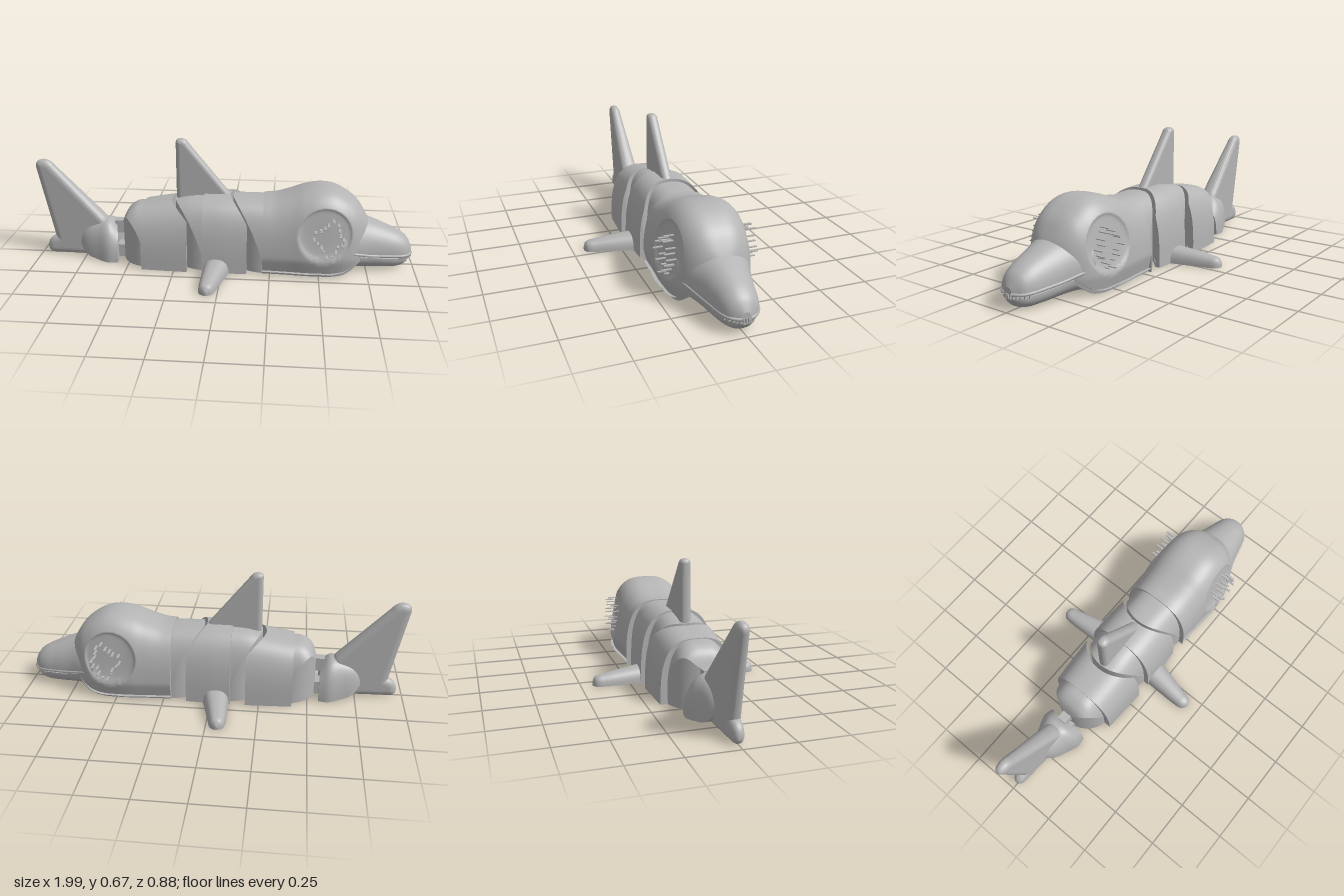
import * as THREE from 'three';
import { mergeGeometries } from 'three/addons/utils/BufferGeometryUtils.js';

const grey = new THREE.MeshStandardMaterial({ color: 0xb4b4b4, side: THREE.DoubleSide });
grey.name = 'plain grey';

const add = (group, name, geometry) => {
  const mesh = new THREE.Mesh(geometry, grey);
  mesh.name = name;
  group.add(mesh);
  return mesh;
};

// Smooth sheet of quads from fn(u, v) -> [x, y, z], with integer u and v
function sheet(fn, nu, nv, flip) {
  const pos = [], index = [];
  for (let u = 0; u <= nu; u++) for (let v = 0; v <= nv; v++) pos.push(...fn(u, v));
  for (let u = 0; u < nu; u++) for (let v = 0; v < nv; v++) {
    const a = u * (nv + 1) + v, b = a + nv + 1;
    if (flip) index.push(a, b + 1, b, a, a + 1, b + 1);
    else index.push(a, b, b + 1, a, b + 1, a + 1);
  }
  const g = new THREE.BufferGeometry();
  g.setAttribute('position', new THREE.Float32BufferAttribute(pos, 3));
  g.setIndex(index);
  g.computeVertexNormals();
  return g;
}

// Arch-shaped solid along x. Rows: [x, half width, crown y, base y, centre z].
// xa and xb bend the two ends as functions of z; lift recesses the underside.
function loft(rows, { xa, xb, e = 0.667, lift = 0, undercut = 0, dent, nu = 24, nv = 48 } = {}) {
  const curve = new THREE.CubicInterpolant(rows.map(r => r[0]),
    rows.flatMap(r => [r[1], r[2], r[3], r[4] || 0]), 4, new Float32Array(4));
  const x0 = rows[0][0], x1 = rows[rows.length - 1][0];
  const point = (i, j) => {
    const s = i / nu, a = Math.PI * j / nv, c = Math.cos(a);
    const first = curve.evaluate(x0 + (x1 - x0) * s);
    let z = first[3] + first[0] * Math.sign(c) * Math.abs(c) ** e;
    const from = xa ? xa(z) : x0, to = xb ? xb(z) : x1;
    const x = from + (to - from) * s;
    const [, h, base] = curve.evaluate(x);
    const y = base + (h - base) * Math.abs(Math.sin(a)) ** e;
    z *= 1 - undercut * Math.max(0, 1 - y / 0.09);
    if (dent) z -= Math.sign(z) * dent(x, y);
    return { p: [x, y, z], base };
  };
  const down = rows[1][2] < rows[1][3];
  const under = (i, j, rise) => { const q = point(i, j); return [q.p[0], q.base + rise, q.p[2]]; };
  const cap = i => (j, k) => k ? under(i, j, 0) : point(i, j).p;
  return mergeGeometries([
    sheet((i, j) => point(i, j).p, nu, nv, down),
    sheet((i, j) => under(i, j, lift), nu, nv, !down),
    sheet(cap(0), nv, 1, down),
    sheet(cap(nu), nv, 1, !down),
  ]);
}

// Ends of the hinge joints: a round knuckle and the hollow that receives it
const arc = (cx, r, limit = 9) => z => Math.min(limit, cx - Math.sqrt(Math.max(0, r * r - z * z)));

// Underside plate with a ring groove and a hexagonal hole at the pivot
function floorPlate(cx, r, outline) {
  const shape = new THREE.Shape();
  for (let i = 0; i <= 24; i++) {
    const a = Math.PI * (0.5 + i / 24);
    const p = [cx + r * Math.cos(a), r * Math.sin(a)];
    i ? shape.lineTo(...p) : shape.moveTo(...p);
  }
  const half = outline.map(([x, z]) => [x, -z]);
  [...half, ...outline.slice().reverse()].forEach(p => shape.lineTo(...p));
  const ring = (rad, n) => new THREE.Path(Array.from({ length: n }, (_, i) =>
    new THREE.Vector2(cx + rad * Math.cos(i * 2 * Math.PI / n), rad * Math.sin(i * 2 * Math.PI / n))));
  shape.holes.push(ring(0.12, 40));
  const hub = new THREE.Shape(ring(0.08, 40).getPoints());
  hub.holes.push(ring(0.045, 6));
  return new THREE.ExtrudeGeometry([shape, hub], { depth: 0.02, bevelEnabled: false }).rotateX(-Math.PI / 2);
}

// Upright fin with rounded rim, from a side profile
function fin(shape, thickness) {
  const b = thickness * 0.45;
  return new THREE.ExtrudeGeometry(shape, {
    depth: thickness - 2 * b, bevelThickness: b, bevelSize: b, bevelOffset: -b, bevelSegments: 6, curveSegments: 10,
  }).translate(0, 0, b - thickness / 2);
}

function bodySegment(name, knuckle, main, k, frontEnd, floor, options = {}) {
  const g = new THREE.Group();
  g.name = name;
  add(g, name + 'Knuckle', loft(knuckle, { xa: arc(k[0], k[1]), lift: 0.02 }));
  add(g, name + 'Shell', loft(main, { xb: frontEnd, lift: 0.02, ...options }));
  add(g, name + 'Underside', floorPlate(k[0], k[1], floor));
  return g;
}

export function createModel() {
  const model = new THREE.Group();
  model.name = 'jointedSeaAnimal';

  // Rear segment
  model.add(bodySegment('rearBody',
    [[-0.54, 0.15, 0.2, 0], [-0.52, 0.15, 0.255, 0], [-0.48, 0.15, 0.295, 0], [-0.41, 0.15, 0.312, 0]],
    [[-0.42, 0.183, 0.314, 0], [-0.3, 0.19, 0.335, 0], [-0.18, 0.195, 0.355, 0]],
    [-0.39, 0.15], arc(-0.09, 0.185, -0.18),
    [[-0.39, 0.18], [-0.18, 0.19], [-0.18, 0.163], [-0.235, 0.115], [-0.268, 0.05]]));

  // Middle segment
  model.add(bodySegment('middleBody',
    [[-0.255, 0.165, 0.345, 0], [-0.18, 0.165, 0.362, 0], [-0.09, 0.165, 0.37, 0]],
    [[-0.1, 0.195, 0.376, 0], [0, 0.195, 0.376, 0], [0.13, 0.19, 0.37, 0]],
    [-0.09, 0.165], arc(0.225, 0.19, 0.13),
    [[-0.09, 0.19], [0.13, 0.186], [0.13, 0.164], [0.075, 0.116], [0.042, 0.05]]));

  // Head, with a dished round eye socket on each side
  const dent = (x, y) => {
    const r = Math.hypot(x - 0.525, y - 0.225) / 0.135;
    return r < 1 ? 0.028 * Math.sqrt(1 - r * r) : 0;
  };
  const head = bodySegment('head',
    [[0.05, 0.17, 0.366, 0], [0.13, 0.17, 0.364, 0], [0.22, 0.17, 0.36, 0]],
    [[0.21, 0.198, 0.366, 0], [0.27, 0.201, 0.372, 0], [0.35, 0.206, 0.396, 0], [0.42, 0.212, 0.421, 0],
      [0.5, 0.213, 0.435, 0], [0.57, 0.207, 0.427, 0], [0.64, 0.188, 0.393, 0.015], [0.7, 0.15, 0.342, 0.06],
      [0.74, 0.1, 0.28, 0.1], [0.76, 0.05, 0.24, 0.12]],
    [0.22, 0.17], null, [[0.22, 0.174], [0.5, 0.186], [0.56, 0.18], [0.6, 0.15]],
    { undercut: 0.12, dent, nu: 100, nv: 120 });
  model.add(head);

  // Beak and lower jaw
  const beak = [[0.62, 0.185, 0.3, 0.13], [0.7, 0.155, 0.28, 0.115], [0.76, 0.132, 0.258, 0.1],
    [0.85, 0.108, 0.222, 0.09], [0.93, 0.085, 0.183, 0.083], [0.965, 0.06, 0.152, 0.08], [0.985, 0.022, 0.11, 0.08]];
  add(head, 'upperBeak', loft(beak, { e: 0.9 }));
  add(head, 'lowerJaw', loft([[0.62, 0.172, 0, 0.112], [0.7, 0.142, 0.004, 0.097], [0.76, 0.12, 0.002, 0.084],
    [0.85, 0.1, 0, 0.073], [0.92, 0.075, 0.003, 0.065], [0.96, 0.05, 0.022, 0.062], [0.98, 0.018, 0.048, 0.062]], { e: 0.9 }));

  for (const side of [1, -1]) {
    // Lip rim
    const path = new THREE.CatmullRomCurve3(beak.map(r => new THREE.Vector3(r[0], r[3], side * (r[1] - 0.003))));
    add(head, 'lip', new THREE.TubeGeometry(path, 30, 0.008, 8));

    // Fine slivers standing around each eye
    for (let i = 0; i < 18; i++) {
      const a = i * Math.PI * 2 / 18, r = 0.068 + 0.014 * Math.sin(i * 5);
      const sliver = add(head, 'eyeSliver', new THREE.BoxGeometry(0.011, 0.004, 0.05));
      sliver.position.set(0.55 + r * Math.cos(a), 0.215 + 1.2 * r * Math.sin(a), side * (0.2 + 0.012 * Math.sin(i * 3)));
    }

    // Side flippers
    add(model, side > 0 ? 'leftFlipper' : 'rightFlipper', loft(
      [[0.15, 0.072, 0.083, 0, side * 0.022], [0.28, 0.056, 0.068, 0, side * 0.04], [0.38, 0.043, 0.055, 0, side * 0.053],
        [0.415, 0.036, 0.049, 0, side * 0.056], [0.432, 0.024, 0.038, 0, side * 0.056], [0.44, 0.006, 0.02, 0, side * 0.056]],
      { e: 0.8, nu: 36, nv: 24 }).rotateY(-side * Math.PI / 2));
  }

  // Small teeth at the tip of the beak
  for (let i = -6; i <= 6; i++) {
    const tooth = add(head, 'tooth', new THREE.BoxGeometry(0.016, 0.022, 0.007));
    tooth.position.set(0.982 - 0.0016 * i * i, 0.07, i * 0.0125);
  }

  // Back fin
  const back = new THREE.Shape();
  back.moveTo(-0.25, 0.3);
  back.lineTo(-0.25, 0.64);
  back.quadraticCurveTo(-0.25, 0.664, -0.222, 0.664);
  back.quadraticCurveTo(-0.198, 0.664, -0.185, 0.642);
  back.lineTo(0.035, 0.37);
  back.lineTo(0.035, 0.3);
  add(model, 'backFin', fin(back, 0.056));

  // Tail
  const tail = new THREE.Group();
  tail.name = 'tail';
  model.add(tail);
  add(tail, 'tailRoot', loft([[-0.78, 0.035, 0.13, 0.075], [-0.745, 0.065, 0.17, 0.03], [-0.67, 0.098, 0.203, 0.006],
    [-0.61, 0.12, 0.21, 0], [-0.56, 0.115, 0.165, 0]], { e: 0.8, xb: arc(-0.39, 0.185, -0.56) }));
  add(tail, 'tailLink', new THREE.BoxGeometry(0.15, 0.07, 0.07).translate(-0.535, 0.035, 0));
  add(tail, 'tailPin', new THREE.BoxGeometry(0.07, 0.07, 0.05).translate(-0.55, 0.17, 0));
  const fluke = new THREE.Shape();
  fluke.moveTo(-0.6, 0);
  fluke.lineTo(-0.93, 0);
  fluke.quadraticCurveTo(-0.968, 0, -0.968, 0.035);
  fluke.quadraticCurveTo(-0.966, 0.085, -0.92, 0.1);
  fluke.lineTo(-0.998, 0.49);
  fluke.quadraticCurveTo(-1.002, 0.53, -0.955, 0.532);
  fluke.quadraticCurveTo(-0.925, 0.532, -0.9, 0.5);
  fluke.lineTo(-0.64, 0.225);
  fluke.lineTo(-0.6, 0.17);
  const flukeGeometry = fin(fluke, 0.08);
  const p = flukeGeometry.attributes.position;
  for (let i = 0; i < p.count; i++) p.setZ(i, p.getZ(i) * THREE.MathUtils.mapLinear(p.getX(i), -1, -0.65, 0.65, 1.2));
  flukeGeometry.computeVertexNormals();
  add(tail, 'tailFin', flukeGeometry);

  return model;
}
